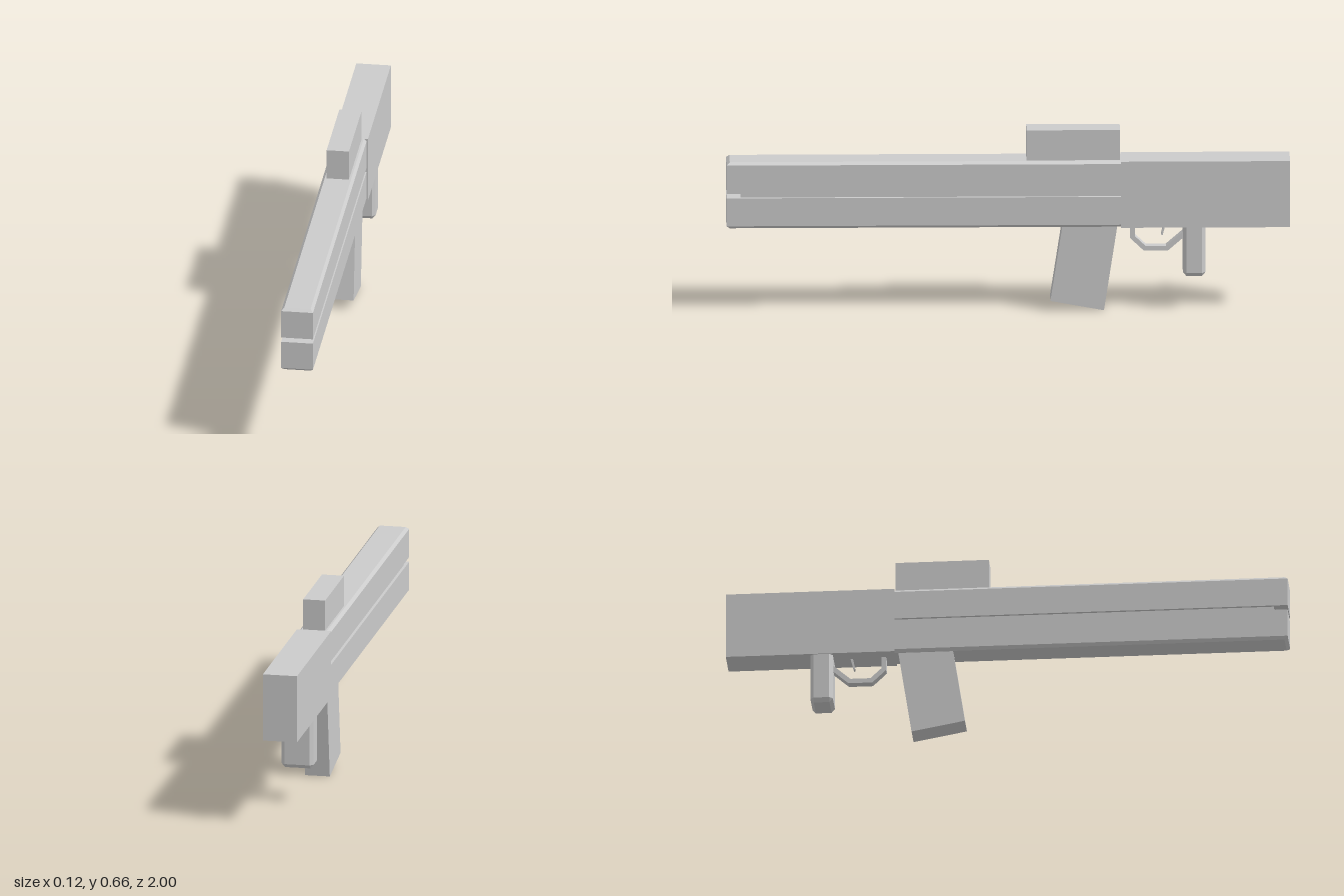
import * as THREE from 'three';
import { ConvexGeometry } from 'three/addons/geometries/ConvexGeometry.js';

const material = new THREE.MeshStandardMaterial({ color: 0xcccccc, flatShading: true });

export function createModel() {
  const model = new THREE.Group();
  model.name = 'rifle';

  const add = (name, geometry) => {
    const mesh = new THREE.Mesh(geometry, material);
    mesh.name = name;
    model.add(mesh);
    return mesh;
  };

  // Block from half width, y range and z range
  const block = (name, halfX, y0, y1, z0, z1) => {
    const mesh = add(name, new THREE.BoxGeometry(2 * halfX, y1 - y0, z1 - z0));
    mesh.position.set(0, (y0 + y1) / 2, (z0 + z1) / 2);
  };

  // Side profile of [z, y] points, extruded across x
  const plate = (name, halfX, points) => {
    const shape = new THREE.Shape(points.map(([z, y]) => new THREE.Vector2(z, y)));
    const geometry = new THREE.ExtrudeGeometry(shape, { depth: 2 * halfX, bevelEnabled: false });
    add(name, geometry.translate(0, 0, -halfX).rotateY(-Math.PI / 2));
  };

  // Convex solid from [x, y, z] corners mirrored across x
  const mirroredHull = (name, corners) => {
    const points = corners.flatMap(([x, y, z]) => [
      new THREE.Vector3(x, y, z), new THREE.Vector3(-x, y, z)]);
    add(name, new ConvexGeometry(points));
  };

  // Stock and sight block
  block('stock', 0.062, 0.311, 0.555, -1, -0.4);
  block('sight', 0.04, 0.553, 0.666, -0.397, -0.065);

  // Twin barrels, bevelled along the outer edges and at the muzzle
  const barrel = (name, inner, shoulder, outer) => mirroredHull(name, [
    [0.057, inner, 1], [0.057, shoulder, 1],
    [0.047, outer, 0.988],
    [0.057, inner, -0.4], [0.057, shoulder, -0.4], [0.047, outer, -0.4],
  ]);
  barrel('upperBarrel', 0.441, 0.545, 0.555);
  barrel('lowerBarrel', 0.424, 0.321, 0.311);
  block('barrelWeb', 0.047, 0.42, 0.445, -0.4, 0.95);

  // Slanted magazine
  plate('magazine', 0.045, [[-0.195, 0.33], [-0.15, 0.037], [-0.34, 0.002], [-0.39, 0.33]]);

  // Grip with chamfered corners and foot
  const gripCorners = [];
  for (const s of [-1, 1]) {
    for (const y of [0.32, 0.142]) {
      gripCorners.push([0.058, y, -0.66 + s * 0.028], [0.046, y, -0.66 + s * 0.04]);
    }
    gripCorners.push([0.046, 0.128, -0.66 + s * 0.028]);
  }
  mirroredHull('grip', gripCorners);

  // Trigger guard and trigger
  plate('triggerGuard', 0.016, [
    [-0.433, 0.315], [-0.433, 0.26], [-0.482, 0.213], [-0.567, 0.213], [-0.623, 0.262],
    [-0.623, 0.285], [-0.56, 0.23], [-0.489, 0.23], [-0.45, 0.267], [-0.45, 0.315],
  ]);
  plate('trigger', 0.01, [[-0.552, 0.315], [-0.543, 0.27], [-0.549, 0.269], [-0.561, 0.315]]);

  return model;
}
